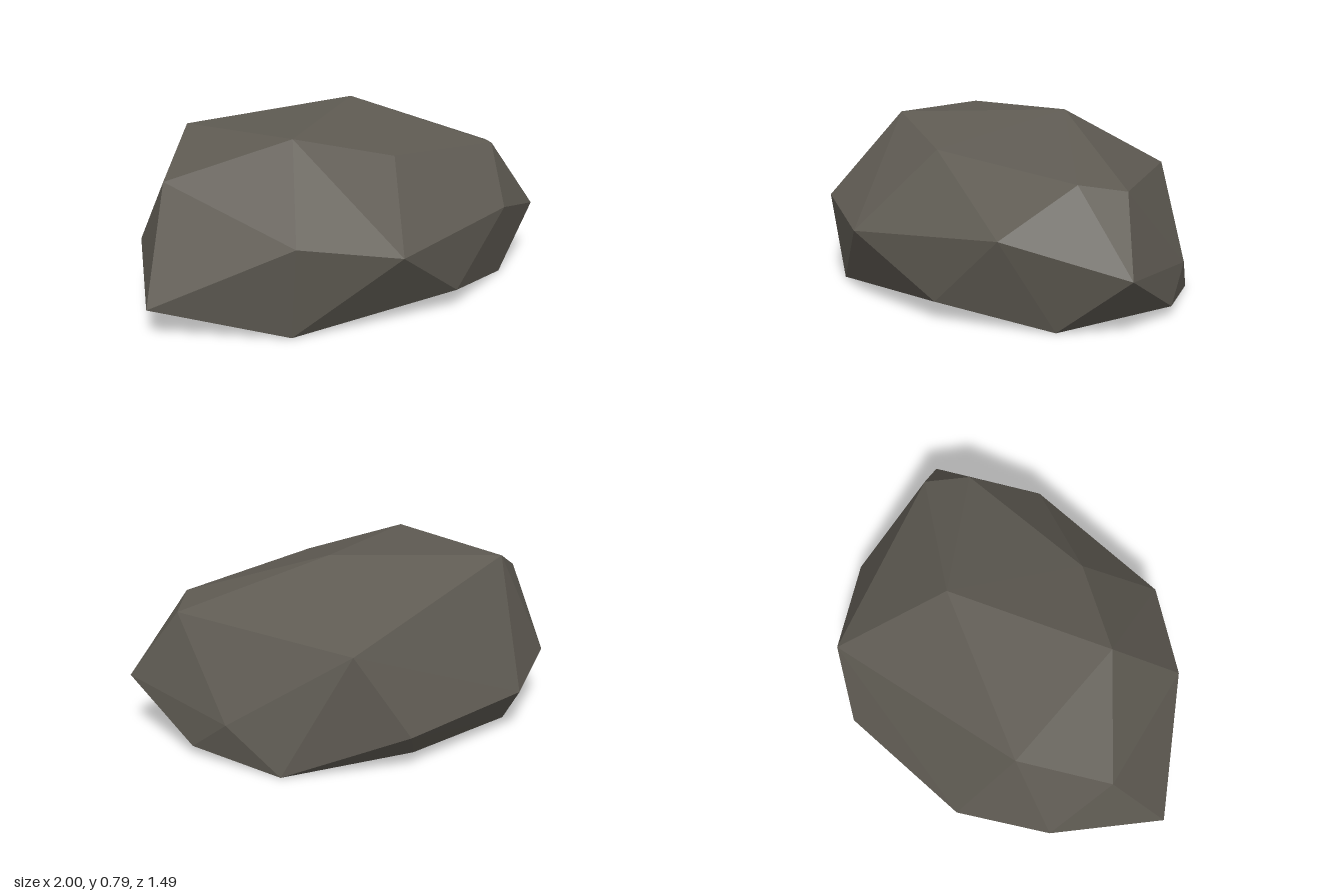
import * as THREE from 'three';
import { ConvexGeometry } from 'three/addons/geometries/ConvexGeometry.js';

export function createModel() {
  const group = new THREE.Group();
  group.name = 'rock';

  const stone = new THREE.MeshStandardMaterial({ color: 0x5e5a52 });
  stone.name = 'dark stone';
  stone.flatShading = true;

  // Corners of the boulder, ring by ring from the ground up
  const rings = {
    base: [[-0.5, 0, 0.53], [0.71, 0, 0.33], [0.6, 0, -0.555], [0, 0, -0.555], [-0.54, 0, -0.38], [-0.79, 0, 0]],
    lowerEdge: [[0.27, 0.08, 0.6], [0.85, 0.04, -0.19], [0.76, 0.18, -0.36], [0.11, 0.16, -0.75],
      [-0.51, 0.19, -0.56], [-0.81, 0.25, -0.26], [-1, 0.12, 0.23]],
    waist: [[-0.51, 0.395, 0.59], [-0.1, 0.33, 0.74], [0.575, 0.38, 0.52], [1, 0.25, 0.195],
      [0.6, 0.45, -0.25], [0.33, 0.51, -0.67]],
    crown: [[-0.82, 0.58, 0.03], [-0.56, 0.73, -0.29], [-0.36, 0.76, 0.3], [0.06, 0.66, 0.42],
      [0.72, 0.59, 0.23], [0.82, 0.555, 0.05], [0.21, 0.79, -0.17]],
  };

  // Faceted shell stretched over the corners
  const corners = Object.values(rings).flat().map((p) => new THREE.Vector3(...p));
  const boulder = new THREE.Mesh(new ConvexGeometry(corners), stone);
  boulder.name = 'boulder';
  group.add(boulder);

  return group;
}
